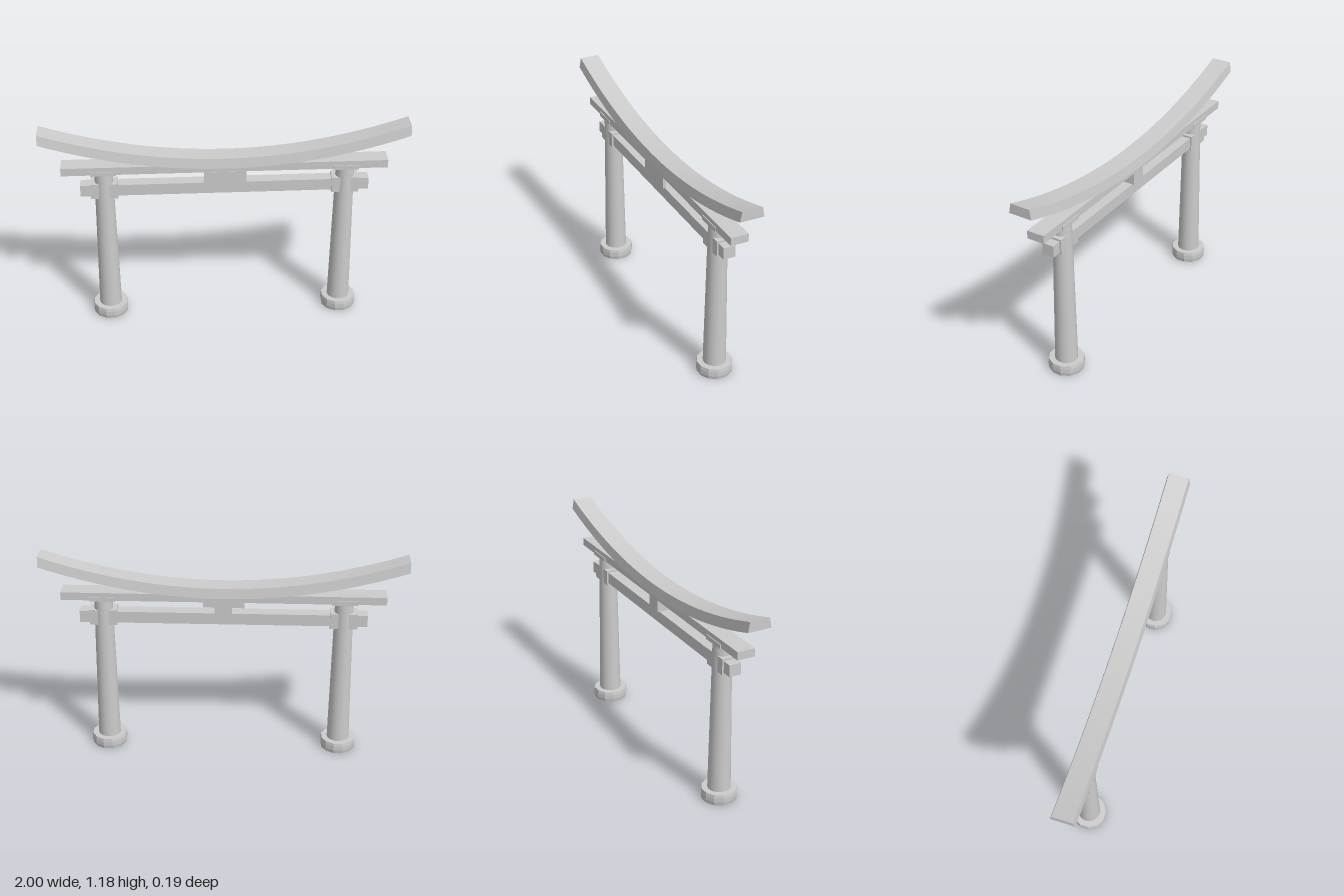
import * as THREE from 'three';

const material = new THREE.MeshStandardMaterial({ color: 0xcccccc });
const flatMaterial = new THREE.MeshStandardMaterial({ color: 0xcccccc, flatShading: true });

function add(parent, name, geometry, x, y, z, mat = material) {
  const mesh = new THREE.Mesh(geometry, mat);
  mesh.name = name;
  mesh.position.set(x, y, z);
  parent.add(mesh);
  return mesh;
}

// Box given by its half width, bottom, top, back and front
function block(parent, name, halfX, y0, y1, z0, z1) {
  const geometry = new THREE.BoxGeometry(halfX * 2, y1 - y0, z1 - z0);
  return add(parent, name, geometry, 0, (y0 + y1) / 2, (z0 + z1) / 2);
}

// Upswept top beam: tapered section, ends rising along a parabola
function roofBeamGeometry() {
  const geometry = new THREE.BoxGeometry(2, 0.056, 0.132, 32, 1, 1);
  const p = geometry.attributes.position;
  for (let i = 0; i < p.count; i++) {
    const x = p.getX(i), y = p.getY(i);
    if (y > 0) p.setZ(i, Math.sign(p.getZ(i)) * 0.056);
    p.setY(i, y + 0.17 * x * x);
  }
  geometry.computeVertexNormals();
  return geometry;
}

function createPost(x, side) {
  const post = new THREE.Group();
  post.name = side + 'Post';
  post.position.x = x;

  // Twelve-sided foot with a softened edge
  const profile = [[0, 0], [0.096, 0], [0.1, 0.02], [0.1, 0.045], [0.097, 0.063], [0, 0.063]]
    .map(([r, y]) => new THREE.Vector2(r, y));
  add(post, 'foot', new THREE.LatheGeometry(profile, 12, Math.PI / 12), 0, 0, 0, flatMaterial);

  // Tapered round shaft
  add(post, 'shaft', new THREE.CylinderGeometry(0.05, 0.063, 0.865, 24), 0, 0.4925, 0);

  // Collar round the tie beam and cap plate under the lintel
  block(post, 'collar', 0.075, 0.773, 0.862, -0.043, 0.043);
  block(post, 'capPlate', 0.07, 0.92, 0.945, -0.055, 0.055);
  return post;
}

export function createModel() {
  const gate = new THREE.Group();
  gate.name = 'gate';

  gate.add(createPost(0.66, 'left'), createPost(-0.66, 'right'));

  // Horizontal beams
  block(gate, 'tieBeam', 0.79, 0.785, 0.851, -0.034, 0.034);
  block(gate, 'lintel', 0.888, 0.925, 0.97, -0.05, 0.05);
  add(gate, 'roofBeam', roofBeamGeometry(), 0, 0.982, 0);

  // Centre strut with a plain board on its front
  block(gate, 'centreStrut', 0.047, 0.851, 0.925, -0.045, 0.035);
  block(gate, 'frontBoard', 0.115, 0.854, 0.922, 0.03, 0.047);

  return gate;
}
